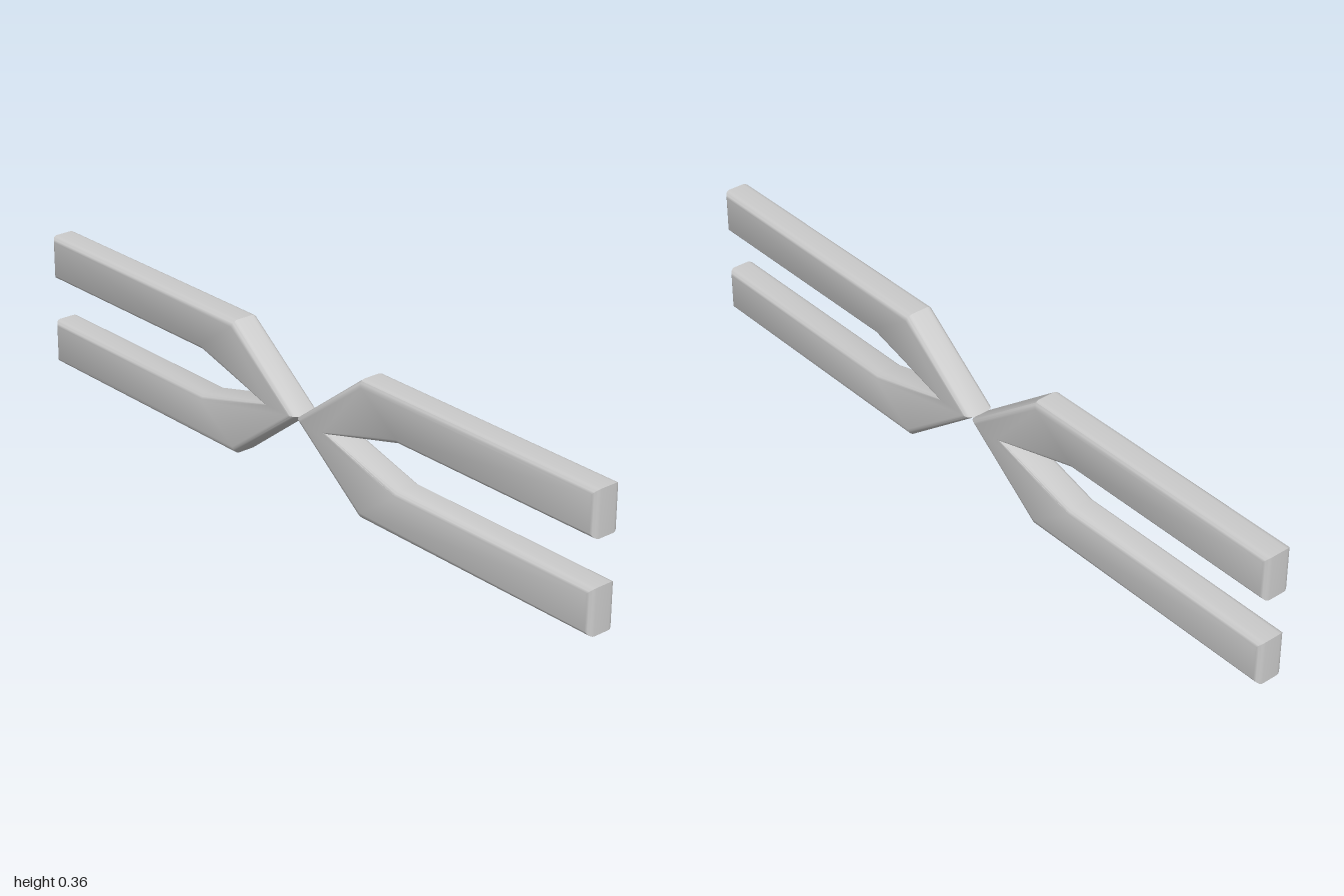
import * as THREE from 'three';
import { toCreasedNormals } from 'three/addons/utils/BufferGeometryUtils.js';

const DEPTH = 0.08;   // full thickness along z
const BEVEL = 0.018;  // rounded edge radius
const MID = 0.18;     // height of the pinch point

// Fork outline: one half listed from the pinch point to the notch, then mirrored in y
function forkShape() {
  const half = [[0.235, -0.18], [1, -0.18], [1, -0.06], [0.365, -0.06]];
  const upper = half.map(([x, y]) => [x, -y]).reverse();
  const outline = [[0, 0], ...half, [0.13, 0], ...upper];
  return new THREE.Shape(outline.map(([x, y]) => new THREE.Vector2(x, y + MID)));
}

export function createModel() {
  const group = new THREE.Group();
  group.name = 'doubleFork';
  const material = new THREE.MeshStandardMaterial({ color: 0xcccccc });

  // Rounded slab, bevelled inward so the outline stays true
  const slab = new THREE.ExtrudeGeometry(forkShape(), {
    depth: DEPTH - 2 * BEVEL,
    bevelEnabled: true,
    bevelThickness: BEVEL,
    bevelSize: BEVEL,
    bevelOffset: -BEVEL,
    bevelSegments: 5,
  });
  slab.translate(0, 0, -DEPTH / 2 + BEVEL);
  const geometry = toCreasedNormals(slab, 0.5);

  // Two forks meeting tip to tip
  ['leftFork', 'rightFork'].forEach((name, i) => {
    const fork = new THREE.Mesh(geometry, material);
    fork.name = name;
    fork.rotation.y = i * Math.PI;
    group.add(fork);
  });
  return group;
}
